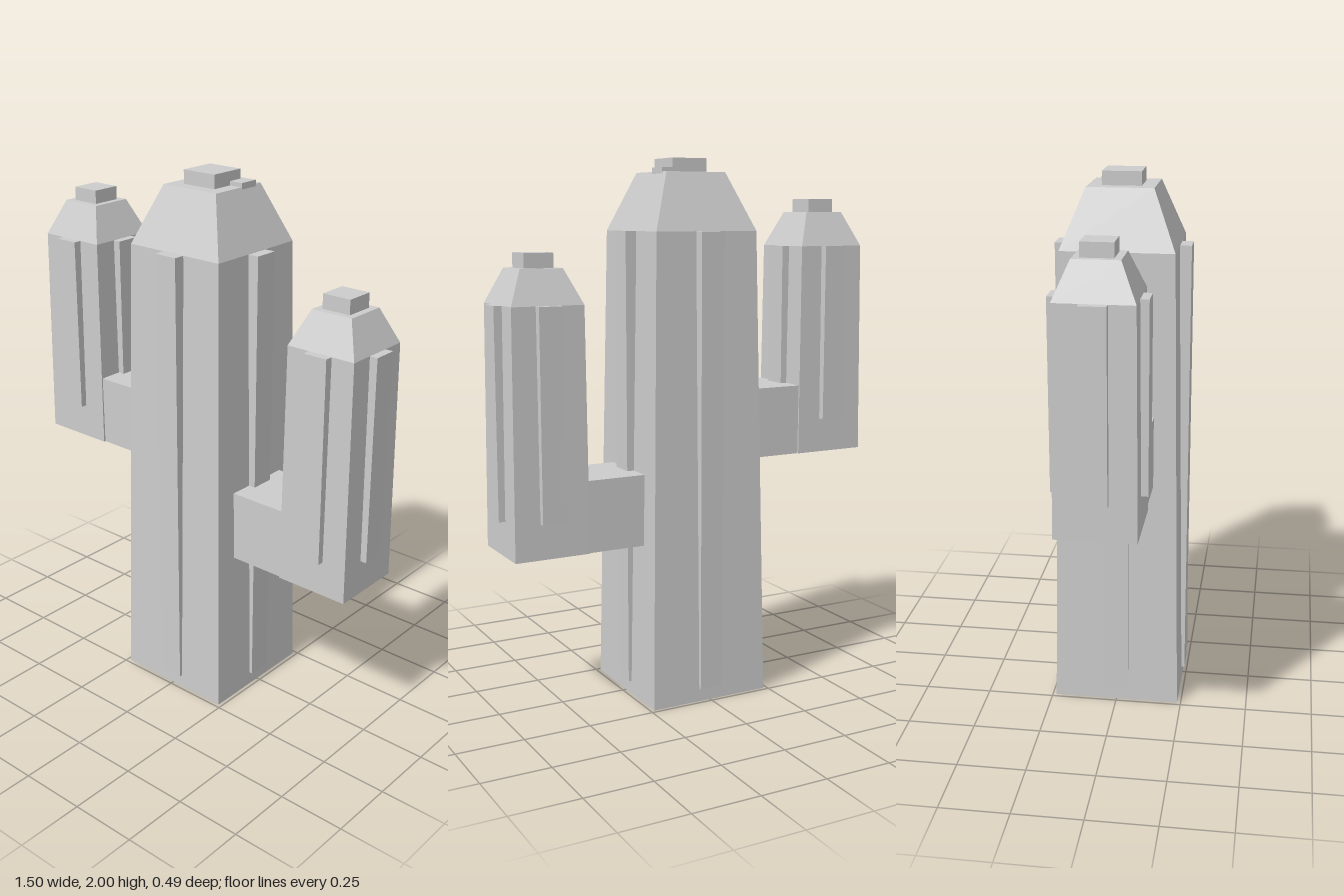
import * as THREE from 'three';

const cactusGrey = new THREE.MeshStandardMaterial({ color: 0xcccccc });
cactusGrey.name = 'cactusGrey';

function box(name, w, h, d, x, y, z) {
  const mesh = new THREE.Mesh(new THREE.BoxGeometry(w, h, d), cactusGrey);
  mesh.name = name;
  mesh.position.set(x, y, z);
  return mesh;
}

// Square block whose top face is narrower than its base
function taperedBlock(name, baseHalf, topHalf, y0, y1) {
  const h = y1 - y0;
  const geometry = new THREE.BoxGeometry(2 * baseHalf, h, 2 * baseHalf);
  const p = geometry.attributes.position;
  const s = topHalf / baseHalf;
  for (let i = 0; i < p.count; i++) {
    if (p.getY(i) > 0) p.setXYZ(i, p.getX(i) * s, p.getY(i), p.getZ(i) * s);
  }
  const flat = geometry.toNonIndexed();
  flat.computeVertexNormals();
  const mesh = new THREE.Mesh(flat, cactusGrey);
  mesh.name = name;
  mesh.position.y = (y0 + y1) / 2;
  return mesh;
}

// Stem with sloped cap, tip block and a raised rib on each side
function column(name, o) {
  const group = new THREE.Group();
  group.name = name;
  group.position.x = o.x;
  group.add(
    taperedBlock('stem', o.base, o.shoulder, o.y0, o.y1),
    taperedBlock('cap', o.shoulder, o.crown, o.y1, o.y2),
    box('tip', 2 * o.tip, o.y3 - o.y2, 2 * o.tip, 0, (o.y2 + o.y3) / 2, 0)
  );
  const depth = 0.042;
  for (let i = 0; i < 4; i++) {
    const a = i * Math.PI / 2;
    const r = o.ribOut - depth / 2;
    const rib = box('rib', 0.092, o.y1 - o.ribY, depth,
      Math.sin(a) * r, (o.ribY + o.y1) / 2, Math.cos(a) * r);
    rib.rotation.y = a;
    group.add(rib);
  }
  return group;
}

export function createModel() {
  const model = new THREE.Group();
  model.name = 'cactus';

  // Trunk
  model.add(column('trunk', {
    x: 0, base: 0.236, shoulder: 0.204, crown: 0.12, tip: 0.07,
    y0: 0, y1: 1.74, y2: 1.95, y3: 2, ribY: 0.05, ribOut: 0.247
  }));
  model.add(box('crownBud', 0.074, 0.03, 0.076, 0.086, 1.95, -0.052));

  // Raised arms and the elbows joining them to the trunk
  const arms = [
    { side: -1, name: 'rightArm', y0: 0.885, y1: 1.68, y2: 1.808, y3: 1.858, ribY: 1.015 },
    { side: 1, name: 'leftArm', y0: 0.6, y1: 1.49, y2: 1.615, y3: 1.668, ribY: 0.73 }
  ];
  for (const { side, name, ...levels } of arms) {
    model.add(column(name, {
      x: side * 0.585, base: 0.142, shoulder: 0.135, crown: 0.08, tip: 0.055,
      ribOut: 0.165, ...levels
    }));
    model.add(box(name + 'Elbow', 0.3, 0.265, 0.27, side * 0.32, levels.y0 + 0.1325, 0));
  }
  return model;
}
